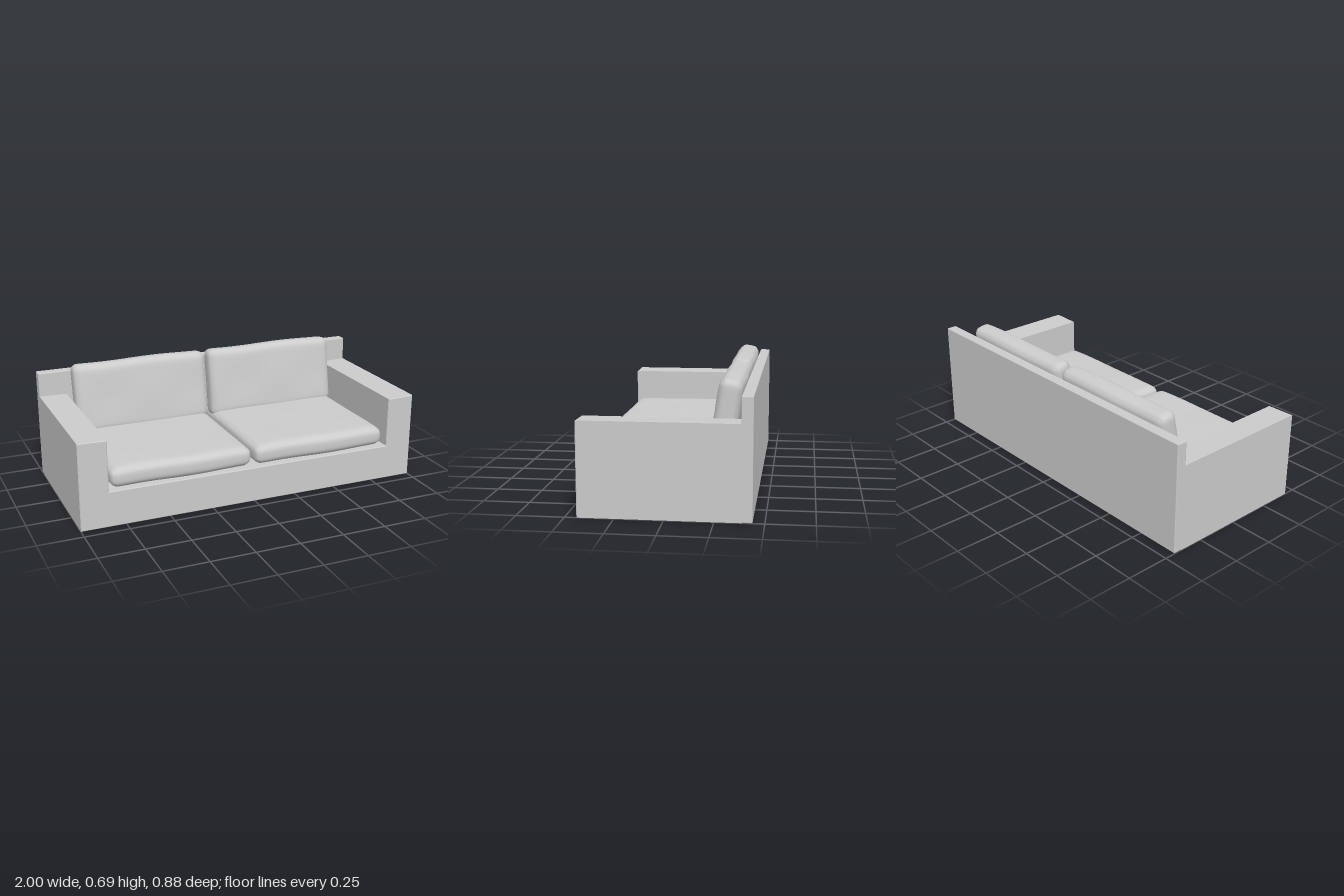
import * as THREE from 'three';
import { mergeVertices } from 'three/addons/utils/BufferGeometryUtils.js';
import { RoundedBoxGeometry } from 'three/addons/geometries/RoundedBoxGeometry.js';

const fabric = new THREE.MeshStandardMaterial({ color: 0xcccccc });

// Soft cushion: a box rounded at its edges, slightly crowned and wrinkled
function cushionGeometry(w, h, d, r, crown) {
  const geo = new THREE.BoxGeometry(2, 2, 2, 24, 16, 24);
  geo.deleteAttribute('normal');
  geo.deleteAttribute('uv');
  const p = geo.attributes.position;
  const v = new THREE.Vector3();
  const half = new THREE.Vector3(w / 2, h / 2, d / 2);
  const inner = half.clone().subScalar(r);
  // crowd the grid lines towards the edges
  const spread = (t) => Math.sin(t * Math.PI / 2);
  for (let i = 0; i < p.count; i++) {
    const a = spread(p.getX(i)), b = spread(p.getY(i)), c = spread(p.getZ(i));
    v.set(a, b, c).multiply(half);
    const core = v.clone().clamp(inner.clone().negate(), inner);
    v.sub(core).setLength(r).add(core);
    // thickness (y) swells in the middle and dips at the corners
    const dip = crown * (a ** 4 + c ** 4) / 2;
    v.y *= 1 - dip;
    // side seams bulge a little
    v.x *= 1 - 0.018 * b * b;
    v.z *= 1 - 0.02 * b * b;
    v.y += 0.002 * Math.sin(a * 5 + 1) * Math.cos(c * 4);
    v.z += 0.003 * Math.sin(a * 4 + 0.5) * c;
    p.setXYZ(i, v.x, v.y, v.z);
  }
  const out = mergeVertices(geo, 1e-5);
  out.computeVertexNormals();
  return out;
}

function add(parent, name, geometry, x, y, z) {
  const mesh = new THREE.Mesh(geometry, fabric);
  mesh.name = name;
  mesh.position.set(x, y, z);
  parent.add(mesh);
  return mesh;
}

export function createModel() {
  const sofa = new THREE.Group();
  sofa.name = 'sofa';

  // Base and arms: one U-shaped profile with a fine bevel
  const b = 0.004;
  const outline = [
    [-1 + b, 0], [1 - b, 0], [1 - b, 0.494 - b], [0.84 + b, 0.49 - b],
    [0.84 + b, 0.202 - b], [-0.84 - b, 0.202 - b], [-0.84 - b, 0.49 - b], [-1 + b, 0.494 - b],
  ];
  const shape = new THREE.Shape(outline.map(([x, y]) => new THREE.Vector2(x, Math.max(y, b))));
  const frame = new THREE.ExtrudeGeometry(shape, {
    depth: 0.83 - 2 * b, bevelThickness: b, bevelSize: b, bevelSegments: 1,
  });
  add(sofa, 'baseAndArms', frame, 0, 0, -0.39 + b);

  // Back panel
  add(sofa, 'backPanel', new RoundedBoxGeometry(2, 0.63, 0.06, 2, 0.005), 0, 0.315, -0.41);

  // Seat and back cushions, one pair per place
  const seat = cushionGeometry(0.81, 0.122, 0.8, 0.04, 0.1);
  const back = cushionGeometry(0.81, 0.132, 0.41, 0.04, 0.12);
  for (const [side, x] of [['right', -0.416], ['left', 0.416]]) {
    add(sofa, side + 'SeatCushion', seat, x, 0.259, 0.03);
    const cushion = add(sofa, side + 'BackCushion', back, x, 0.478, -0.287);
    cushion.rotation.x = Math.PI / 2 - 0.17;
  }
  return sofa;
}
